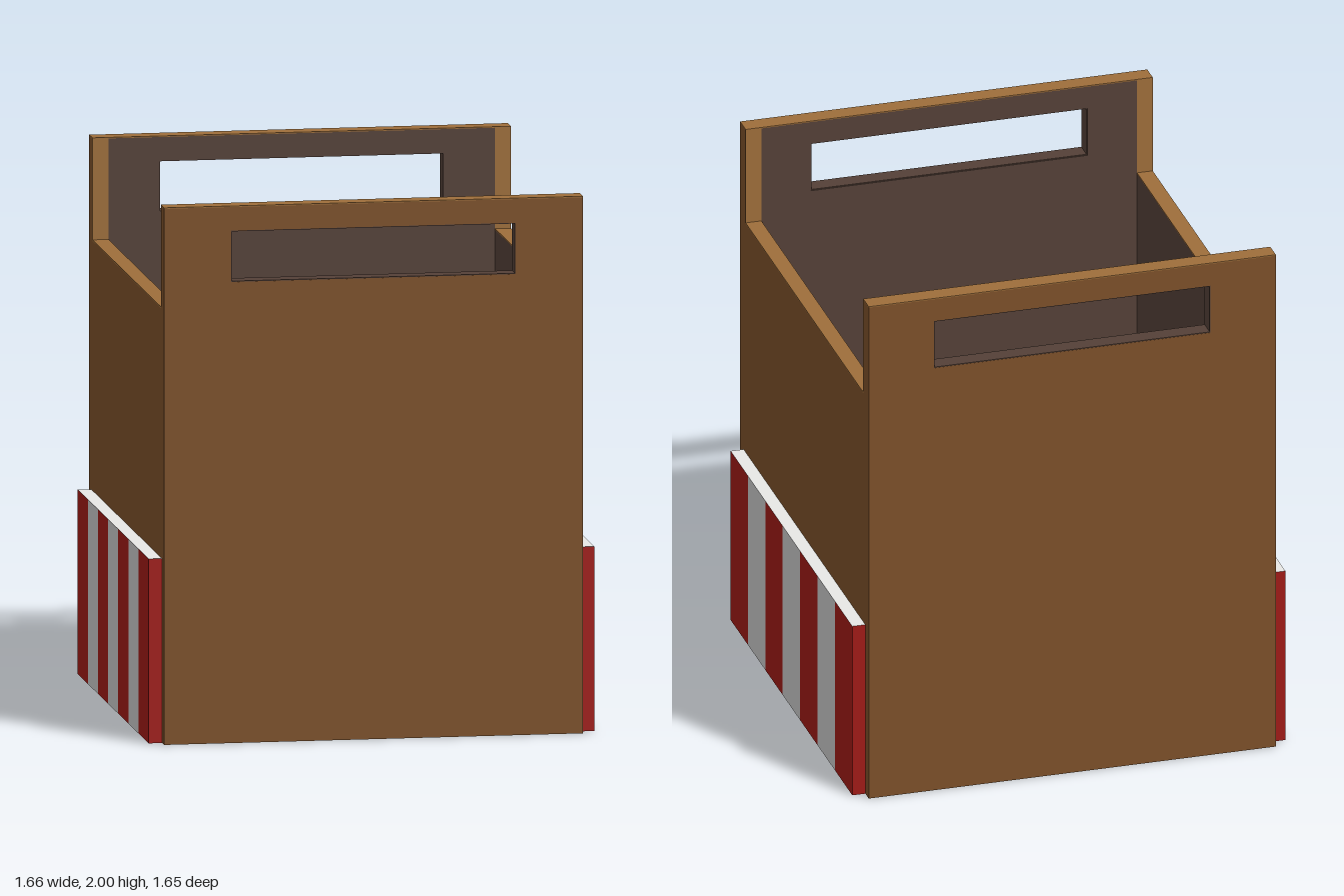
import * as THREE from 'three';

const mat = (name, color, extra = {}) => {
  const m = new THREE.MeshStandardMaterial({ color, ...extra });
  m.name = name;
  return m;
};

export function createModel() {
  const wood = mat('brown wood', 0x7c5029);
  const trim = mat('tan edge', 0x9e6e3a);
  const lining = mat('dark lining', 0x544037);
  const red = mat('red', 0xa01a16);
  const grey = mat('light grey', 0xc8c8c8);
  const white = mat('white', 0xf0f0ee);
  const green = mat('green', 0x408652);
  const straw = mat('straw yellow', 0xf0d57e);
  const orange = mat('orange', 0xf97e00, { side: THREE.DoubleSide });
  const fleck = mat('fleck tan', 0x9e7846, { side: THREE.DoubleSide });

  const model = new THREE.Group();
  model.name = 'carryCrate';

  const add = (parent, name, geo, material) => {
    const mesh = new THREE.Mesh(geo, material);
    mesh.name = name;
    parent.add(mesh);
    return mesh;
  };
  // Box given by its minimum and maximum corners
  const box = (parent, name, material, x0, x1, y0, y1, z0, z1) => {
    const mesh = add(parent, name, new THREE.BoxGeometry(x1 - x0, y1 - y0, z1 - z0), material);
    mesh.position.set((x0 + x1) / 2, (y0 + y1) / 2, (z0 + z1) / 2);
    return mesh;
  };
  const polygon = (points) => new THREE.Shape(points.map(([x, y]) => new THREE.Vector2(x, y)));

  const W = 0.78, IN = 0.72, D = 0.827, DI = 0.76, H = 2, SIDE = 1.62;
  const SX = 0.53, S0 = 1.717, S1 = 1.908; // handle slot
  const stripeEdges = [-0.783, -0.56, -0.335, -0.112, 0.112, 0.335, 0.56, 0.783];
  const stripeFaces = (i) => {
    const face = i % 2 ? grey : red;
    return [face, face, white, green, face, face];
  };

  // Upright panel with a handle slot
  const slotted = (halfWidth, top, depth) => {
    const shape = polygon([[-halfWidth, 0], [halfWidth, 0], [halfWidth, top], [-halfWidth, top]]);
    shape.holes.push(new THREE.Path([[-SX, S0], [-SX, S1], [SX, S1], [SX, S0]]
      .map(([x, y]) => new THREE.Vector2(x, y))));
    return new THREE.ExtrudeGeometry(shape, { depth, bevelEnabled: false });
  };

  // Front and back panels, the back one turned round
  for (const [name, turn] of [['frontPanel', 0], ['backPanel', Math.PI]]) {
    const panel = new THREE.Group();
    panel.name = name;
    panel.rotation.y = turn;
    add(panel, 'board', slotted(W, H - 0.004, D - DI), wood).position.z = DI;
    add(panel, 'innerLining', slotted(IN, H - 0.004, 0.004), lining).position.z = DI - 0.004;
    box(panel, 'topEdge', trim, -W, W, H - 0.004, H, DI - 0.004, D);
    box(panel, 'slotSill', lining, -SX, SX, S0, S0 + 0.003, DI, D - 0.001);
    box(panel, 'slotHead', lining, -SX, SX, S1 - 0.003, S1, DI, D - 0.001);
    for (const s of [-1, 1]) {
      box(panel, 'slotCheek', lining, s * SX - 0.003, s * SX + 0.003, S0, S1, DI, D - 0.001);
      const a = s * IN, b = s * W;
      box(panel, 'innerEdge', trim, Math.min(a, b), Math.max(a, b), SIDE, H - 0.004, DI - 0.004, DI);
    }
    // Striped band inside the panel
    for (let i = 0; i < 7; i++) {
      box(panel, 'innerStripe', stripeFaces(i), Math.max(-IN, stripeEdges[i]),
        Math.min(IN, stripeEdges[i + 1]), 0.03, 0.687, 0.724, DI - 0.004);
    }
    model.add(panel);
  }

  // Side panels with striped bands
  for (const s of [-1, 1]) {
    const side = new THREE.Group();
    side.name = s > 0 ? 'leftSide' : 'rightSide';
    const span = (a, b) => [Math.min(s * a, s * b), Math.max(s * a, s * b)];
    box(side, 'board', [wood, wood, wood, trim, wood, wood],
      ...span(IN + 0.004, W), 0, SIDE - 0.004, -DI, DI);
    box(side, 'innerLining', lining, ...span(IN, IN + 0.004), 0.02, SIDE - 0.004, -DI, DI);
    box(side, 'topEdge', trim, ...span(IN, W), SIDE - 0.004, SIDE, -DI, DI);
    for (let i = 0; i < 7; i++) {
      box(side, 'stripe', stripeFaces(i),
        ...span(W, 0.83), 0, 0.687, stripeEdges[i], stripeEdges[i + 1]);
    }
    model.add(side);
  }

  // Floor, straw sheet on it, and green patch underneath
  box(model, 'floor', [lining, lining, lining, trim, lining, lining], -IN, IN, 0.001, 0.04, -DI, DI);
  box(model, 'strawSheet', straw, -IN, 0.19, 0.04, 0.048, -0.724, 0.724);
  const patch = polygon([[W, -0.78], [0.2, -0.78], [0.22, -0.7], [0.5, -0.2], [0.26, 0.22],
    [-0.12, 0.32], [-0.15, 0.45], [-0.28, 0.78], [W, 0.78]]);
  add(model, 'undersidePatch', new THREE.ShapeGeometry(patch).rotateX(Math.PI / 2), green).position.y = -0.001;

  // Four round ten-sided tubs with domed tops
  const R = 0.345, RIM = 0.42, RISE = 0.27;
  const domeY = (r) => RIM - 0.05 + RISE * Math.sqrt(Math.max(0, 1 - (r / R) ** 2));
  const wall = [[0.001, 0.05], [0.27, 0.05], [0.365, RIM], [R, RIM - 0.05]]
    .map(([r, y]) => new THREE.Vector2(r, y));
  const dome = [];
  for (let i = 0; i <= 10; i++) {
    const r = R * Math.cos(i / 10 * Math.PI / 2);
    dome.push(new THREE.Vector2(Math.max(r, 0.0001), domeY(r)));
  }
  const wallGeo = new THREE.LatheGeometry(wall, 10).toNonIndexed();
  wallGeo.computeVertexNormals();
  const domeGeo = new THREE.LatheGeometry(dome, 10);

  // Flecks as flat patches bent over the dome
  const fleckGeos = [
    [[-0.165, 0.07], [-0.065, 0.077], [-0.022, 0.04], [-0.04, 0.012], [-0.085, 0.008]],
    [[0.1, 0.045], [0.115, 0.072], [0.15, 0.078], [0.172, 0.05], [0.135, 0.018], [0.105, 0.02]],
    [[-0.008, -0.08], [0.047, -0.063], [0.03, -0.11], [0.008, -0.157], [-0.008, -0.15]],
  ].map((pts) => {
    const geo = new THREE.ShapeGeometry(polygon(pts)).rotateX(-Math.PI / 2);
    const p = geo.attributes.position;
    for (let i = 0; i < p.count; i++) p.setY(i, domeY(Math.hypot(p.getX(i), p.getZ(i))) + 0.008);
    geo.computeVertexNormals();
    return geo;
  });

  for (const x of [-0.372, 0.372]) {
    for (const z of [-0.37, 0.362]) {
      const tub = new THREE.Group();
      tub.name = 'roundTub';
      tub.position.set(x, 0, z);
      add(tub, 'tubWall', wallGeo, orange);
      add(tub, 'domedTop', domeGeo, orange);
      for (const g of fleckGeos) add(tub, 'fleck', g, fleck);
      model.add(tub);
    }
  }
  return model;
}
